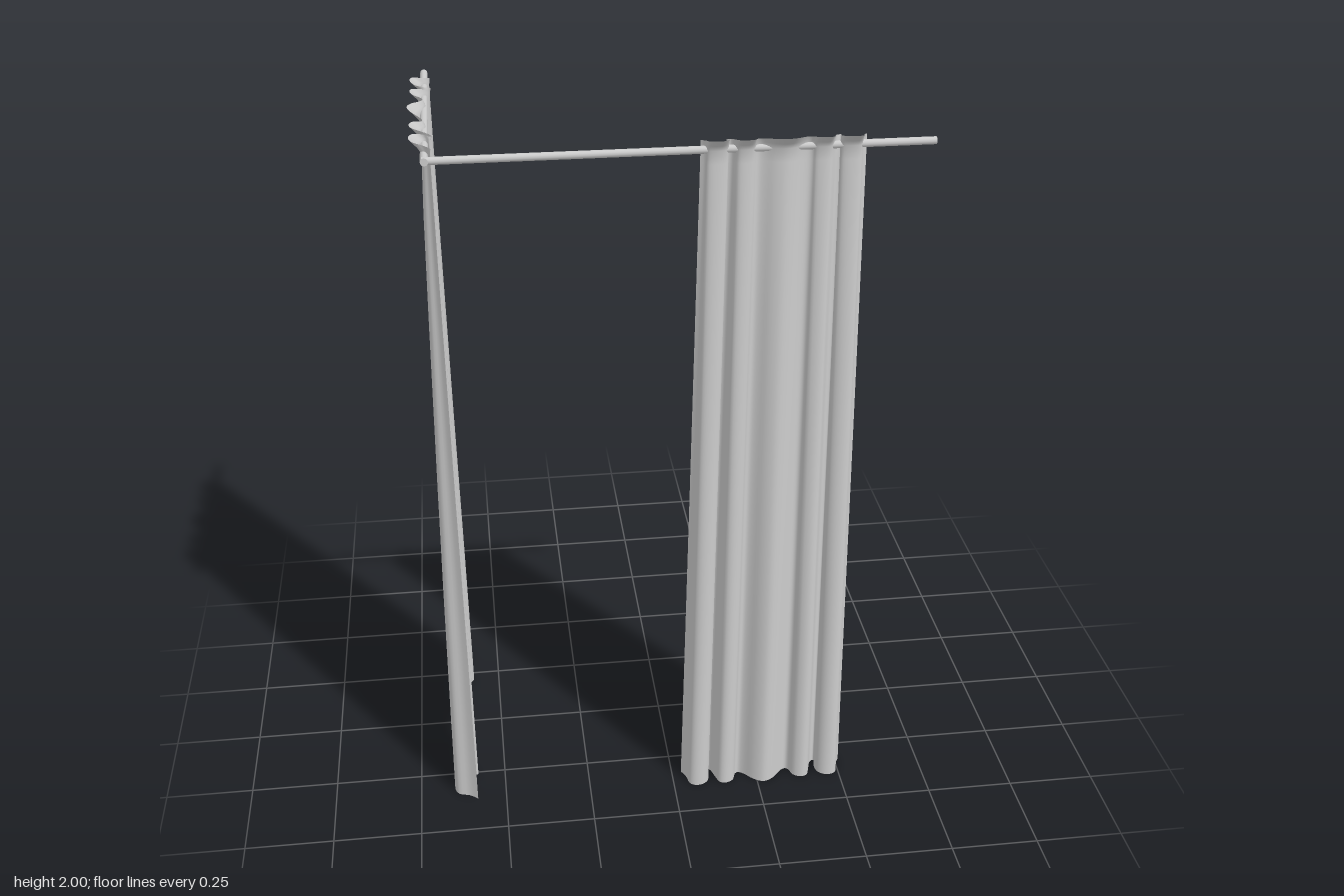
import * as THREE from 'three';

const material = new THREE.MeshStandardMaterial({ color: 0xcccccc, side: THREE.DoubleSide });

// Half of the pleat line: [position from centre to edge, fold depth], 0 = innermost, 1 = outermost
const halfPleats = [
  [0, 1], [0.12, 0.83], [0.22, 0.5], [0.29, 0.36], [0.34, 0.45], [0.38, 0.76], [0.47, 0.9],
  [0.55, 0.82], [0.59, 0.5], [0.63, 0.12], [0.68, 0], [0.69, 0.12], [0.67, 0.35], [0.69, 0.68],
  [0.76, 0.87], [0.85, 0.9], [0.92, 0.75], [0.95, 0.35], [1, 0.05],
];
const pleats = new THREE.SplineCurve([
  ...halfPleats.slice(1).reverse().map(([u, d]) => new THREE.Vector2(-u, d)),
  ...halfPleats.map(([u, d]) => new THREE.Vector2(u, d)),
]);

// Heights of the cloth: [y, inner offset, outer offset] measured from the rod
const levels = [
  [0, -0.032, 0.046], [0.5, -0.028, 0.04], [1, -0.023, 0.032], [1.5, -0.019, 0.022],
  [1.8, -0.017, 0.015], [1.93, -0.016, 0.01], [1.965, -0.016, 0.01], [1.98, -0.018, 0.022], [2, -0.02, 0.042],
];

// Pleated sheet that hangs along x and bulges towards +z
function curtain(name, bottomHalf, topHalf) {
  const columns = 108;
  const line = pleats.getPoints(columns);
  const positions = [];
  const index = [];
  levels.forEach(([y, inner, outer], row) => {
    const half = THREE.MathUtils.lerp(bottomHalf, topHalf, y / 2);
    line.forEach((p, col) => {
      const sag = y === 2 ? 0.014 * Math.max(0, 1 - p.y) : 0;
      positions.push(p.x * half, y - sag, THREE.MathUtils.lerp(inner, outer, p.y));
      if (row && col) {
        const d = row * (columns + 1) + col;
        const b = d - columns - 1;
        index.push(b - 1, b, d, b - 1, d, d - 1);
      }
    });
  });
  const geometry = new THREE.BufferGeometry();
  geometry.setAttribute('position', new THREE.Float32BufferAttribute(positions, 3));
  geometry.setIndex(index);
  geometry.computeVertexNormals();
  const mesh = new THREE.Mesh(geometry, material);
  mesh.name = name;
  return mesh;
}

function rod(name, length) {
  const mesh = new THREE.Mesh(new THREE.CylinderGeometry(0.01, 0.01, length, 12), material);
  mesh.name = name;
  return mesh;
}

export function createModel() {
  const group = new THREE.Group();
  group.name = 'cornerCurtains';

  // Two rods meeting at the corner
  const frontRod = rod('frontRod', 1.272);
  frontRod.rotation.z = Math.PI / 2;
  frontRod.position.set(0.018, 1.965, 0.345);
  const sideRod = rod('sideRod', 0.76);
  sideRod.rotation.x = Math.PI / 2;
  sideRod.position.set(-0.612, 1.965, -0.025);

  // Narrow curtain in front, wide curtain at the side
  const frontCurtain = curtain('frontCurtain', 0.242, 0.208);
  frontCurtain.position.set(0.27, 0, 0.352);
  const sideCurtain = curtain('sideCurtain', 0.35, 0.3);
  sideCurtain.rotation.y = -Math.PI / 2;
  sideCurtain.position.set(-0.612, 0, 0.02);

  group.add(frontRod, sideRod, frontCurtain, sideCurtain);
  return group;
}
